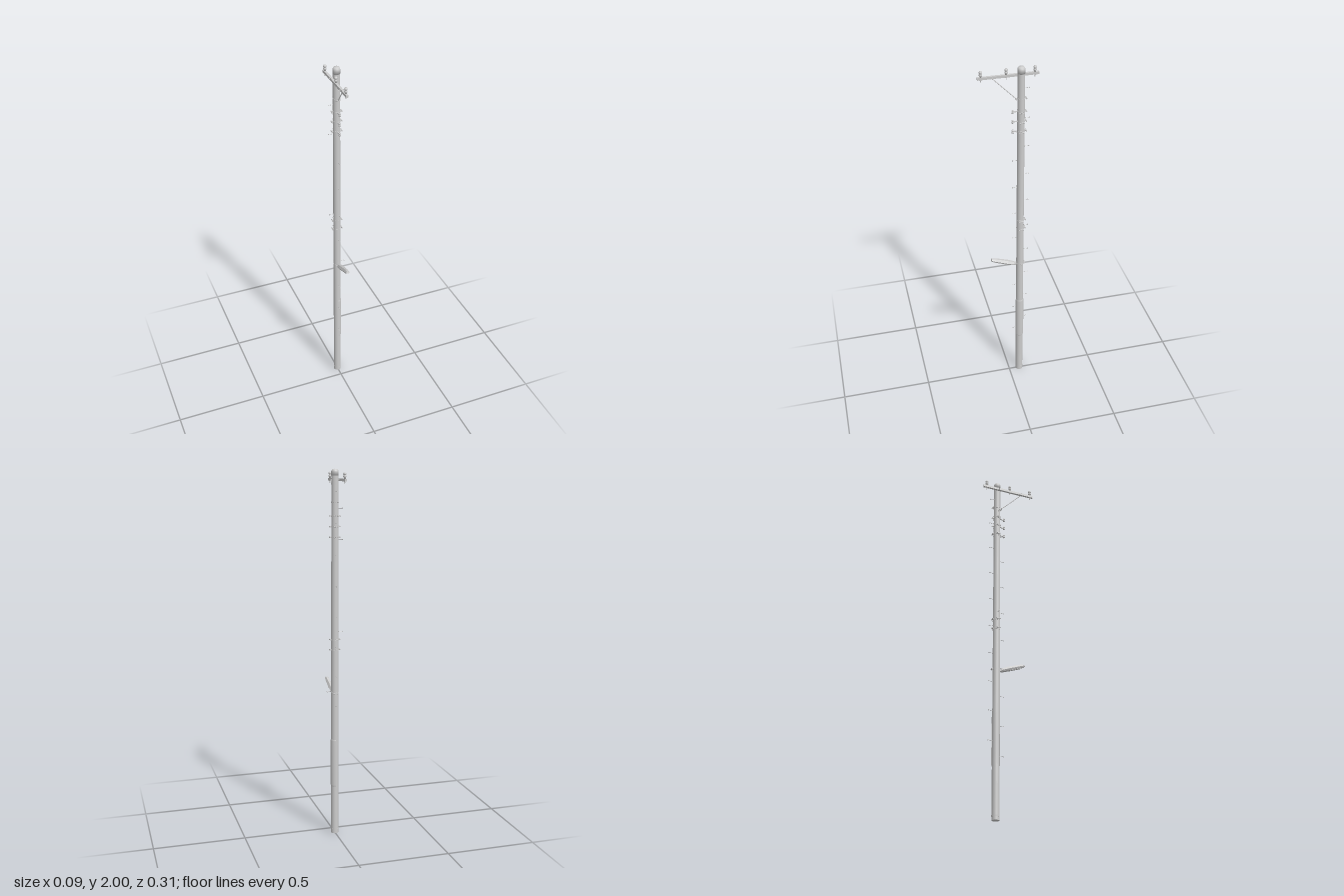
import * as THREE from 'three';

const PZ = -0.06; // z of the pole axis
const grey = new THREE.MeshStandardMaterial({ color: 0xcccccc });
const greyFlat = new THREE.MeshStandardMaterial({ color: 0xcccccc, flatShading: true });
const greyDouble = new THREE.MeshStandardMaterial({ color: 0xcccccc, side: THREE.DoubleSide });

const poleRadius = (y) => 0.0205 - 0.001 * y;

function add(parent, name, geometry, x = 0, y = 0, z = 0, material = grey) {
  const mesh = new THREE.Mesh(geometry, material);
  mesh.name = name;
  mesh.position.set(x, y, z);
  parent.add(mesh);
  return mesh;
}

// Round bar between two points
function rod(parent, name, a, b, radius, sides = 8) {
  const from = new THREE.Vector3(...a), to = new THREE.Vector3(...b);
  const dir = to.clone().sub(from);
  const mesh = add(parent, name, new THREE.CylinderGeometry(radius, radius, dir.length(), sides));
  mesh.position.copy(from).add(to).multiplyScalar(0.5);
  mesh.quaternion.setFromUnitVectors(new THREE.Vector3(0, 1, 0), dir.normalize());
  return mesh;
}

function lathe(points, sides, start, length) {
  return new THREE.LatheGeometry(points.map((p) => new THREE.Vector2(...p)), sides, start, length);
}

// Climbing peg with a small head; angle 0 points to the front, 90 degrees to +x
function peg(parent, y, angle) {
  const g = new THREE.Group();
  g.name = 'climbingPeg';
  g.position.set(0, y, PZ);
  g.rotation.y = angle;
  rod(g, 'pegShaft', [0, 0, 0.015], [0, 0, 0.044], 0.0014);
  rod(g, 'pegHead', [0, 0, 0.0425], [0, 0, 0.0445], 0.003);
  parent.add(g);
}

// Band around the pole with bolted ears on the given sides
function clamp(parent, y, earAngles) {
  const g = new THREE.Group();
  g.name = 'poleClamp';
  g.position.set(0, y, PZ);
  const r = poleRadius(y) + 0.0012;
  add(g, 'clampBand', new THREE.CylinderGeometry(r, r, 0.008, 20));
  for (const angle of earAngles) {
    const ear = new THREE.Group();
    ear.name = 'clampEar';
    ear.rotation.y = angle;
    add(ear, 'earPlate', new THREE.BoxGeometry(0.007, 0.006, 0.012), 0, 0, 0.022);
    rod(ear, 'earBolt', [-0.014, 0, 0.026], [0.014, 0, 0.026], 0.0018);
    for (const s of [-1, 1]) rod(ear, 'earNut', [s * 0.007, 0, 0.026], [s * 0.01, 0, 0.026], 0.0038, 6);
    g.add(ear);
  }
  parent.add(g);
  return g;
}

// Street lamp head lofted from six-sided sections along z
function lampGeometry() {
  // z, half width, height above and below the axis
  const sections = [
    [0, 0.009, 0.007, 0.006], [0.012, 0.013, 0.011, 0.008], [0.05, 0.0155, 0.013, 0.009],
    [0.125, 0.0125, 0.011, 0.008], [0.145, 0.01, 0.006, 0.006],
  ];
  const pos = [], index = [], n = 6;
  for (const [z, w, up, down] of sections) {
    for (const [x, y] of [[w, 0], [w * 0.45, up], [-w * 0.45, up], [-w, 0], [-w * 0.7, -down], [w * 0.7, -down]]) pos.push(x, y, z);
  }
  for (let i = 0; i < sections.length - 1; i++) {
    for (let j = 0; j < n; j++) {
      const a = i * n + j, b = i * n + (j + 1) % n;
      index.push(a, b, b + n, a, b + n, a + n);
    }
  }
  const last = (sections.length - 1) * n;
  for (let j = 1; j < n - 1; j++) index.push(0, j + 1, j, last, last + j, last + j + 1);
  const geometry = new THREE.BufferGeometry();
  geometry.setAttribute('position', new THREE.Float32BufferAttribute(pos, 3));
  geometry.setIndex(index);
  geometry.computeVertexNormals();
  return geometry;
}

export function createModel() {
  const model = new THREE.Group();
  model.name = 'utilityPole';

  // Pole with bevelled top cap and base band
  add(model, 'pole', new THREE.CylinderGeometry(poleRadius(1.98), poleRadius(0), 1.98, 24), 0, 0.99, PZ);
  add(model, 'topCap', lathe([[0, 1.965], [0.0195, 1.965], [0.0195, 1.985], [0.0185, 1.991], [0.0145, 1.998], [0, 2]], 24), 0, 0, PZ);
  add(model, 'baseBand', new THREE.CylinderGeometry(0.0212, 0.0212, 0.008, 24), 0, 0.022, PZ);

  // Half-round guard on the +x side
  add(model, 'guardSleeve', lathe([[0.019, 0.275], [0.0235, 0.285], [0.0235, 0.54], [0.019, 0.55]], 14, 0, Math.PI), 0, 0, PZ, greyDouble);

  // Crossarm and its three pin insulators
  const arm = new THREE.Group();
  arm.name = 'crossarm';
  arm.position.set(-0.03, 1.944, 0);
  model.add(arm);
  add(arm, 'armBeam', new THREE.BoxGeometry(0.012, 0.013, 0.31), 0, 0, -0.002);
  const insulator = [[0, 0.006], [0.005, 0.006], [0.005, 0.013], [0.0085, 0.015], [0.0085, 0.02], [0.006, 0.023],
    [0.006, 0.026], [0.0085, 0.029], [0.0085, 0.033], [0.006, 0.038], [0, 0.039]];
  for (const z of [-0.137, 0.008, 0.135]) {
    add(arm, 'pinInsulator', lathe(insulator, 16), 0, 0, z);
    rod(arm, 'insulatorPin', [0, -0.02, z], [0, 0.008, z], 0.002);
    rod(arm, 'pinNut', [0, -0.011, z], [0, -0.006, z], 0.004, 6);
  }
  for (const z of [PZ, 0.077]) {
    rod(arm, 'armBolt', [-0.014, 0, z], [0.013, 0, z], 0.0016);
    rod(arm, 'armBoltHead', [-0.0095, 0, z], [-0.006, 0, z], 0.004, 6);
  }
  rod(model, 'armBrace', [-0.021, 1.942, 0.08], [0, 1.83, -0.036], 0.0024);

  // Clamps: brace band, three spool bands, two lower bands and the lamp band
  const left = Math.PI / 2, right = -Math.PI / 2, back = Math.PI;
  clamp(model, 1.83, [0, back]);
  for (const y of [1.76, 1.705, 1.65]) {
    const band = clamp(model, y, [left, right, back]);
    add(band, 'spoolArm', new THREE.BoxGeometry(0.006, 0.004, 0.03), 0, 0, 0.031);
    add(band, 'spoolInsulator', lathe([[0, -0.008], [0.0055, -0.008], [0.0055, -0.004], [0.0035, -0.001],
      [0.0035, 0.001], [0.0055, 0.004], [0.0055, 0.008], [0, 0.008]], 12), 0, 0, 0.043);
  }
  for (const y of [1.105, 1.05]) clamp(model, y, [left, right, back]);
  clamp(model, 0.81, [0, back]);

  // Climbing pegs alternating front and back, and a few side pegs
  for (let i = 0; i < 9; i++) peg(model, 0.333 + 0.1635 * i, 0);
  for (let i = 0; i < 10; i++) peg(model, 0.413 + 0.1635 * i, back);
  for (const y of [1.8, 1.637, 1.147]) peg(model, y, right);
  peg(model, 0.818, left);

  // Tilted street lamp with a lens underneath
  const lamp = new THREE.Group();
  lamp.name = 'streetLamp';
  lamp.position.set(0, 0.808, -0.034);
  lamp.rotation.x = -0.35;
  model.add(lamp);
  add(lamp, 'lampHousing', lampGeometry(), 0, 0, 0, greyFlat);
  add(lamp, 'lampLens', new THREE.BoxGeometry(0.015, 0.004, 0.07), 0, -0.0085, 0.085);
  rod(lamp, 'lampStem', [0, 0, -0.012], [0, 0, 0.005], 0.005);

  return model;
}
